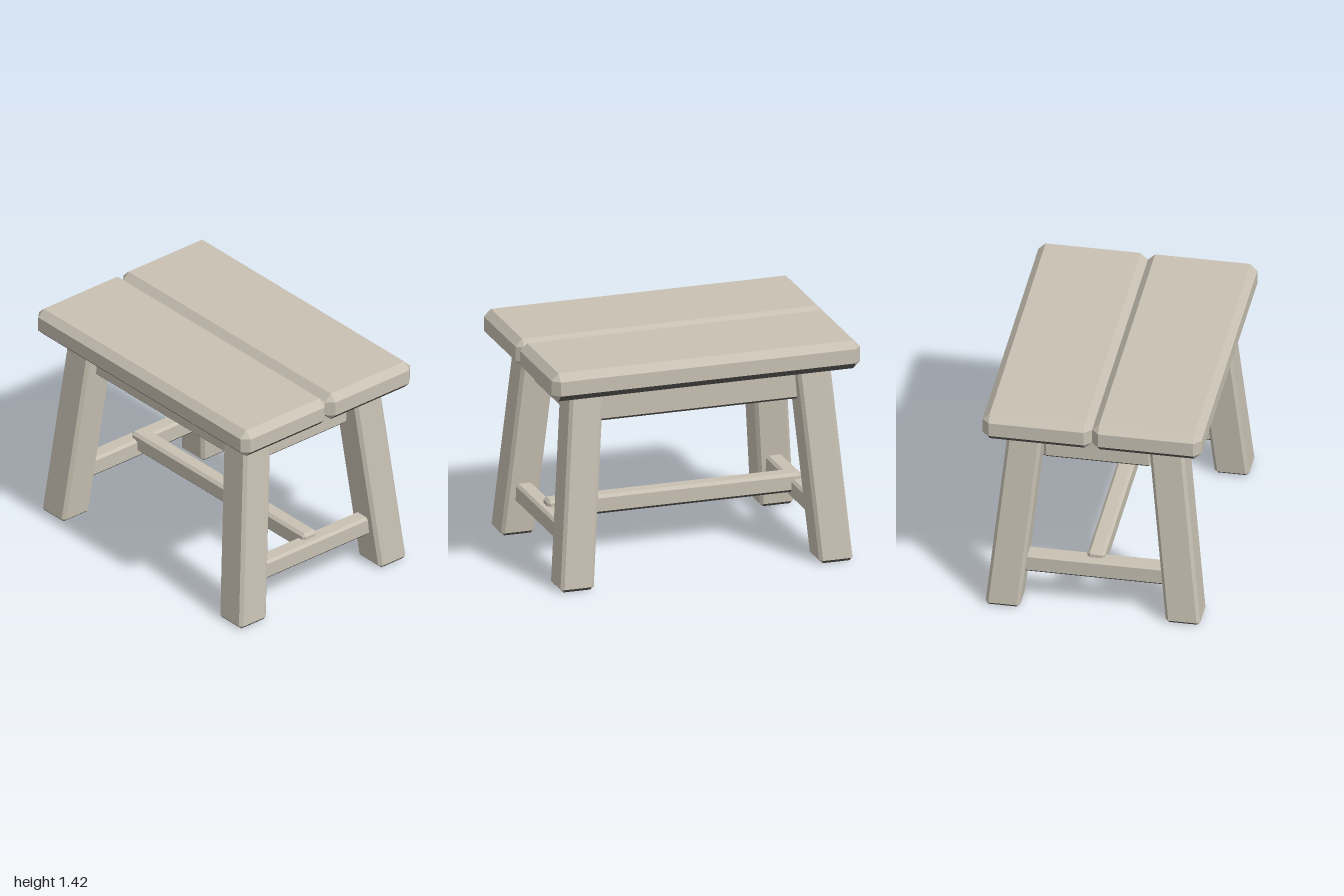
import * as THREE from 'three';
import { ConvexGeometry } from 'three/addons/geometries/ConvexGeometry.js';

const wood = new THREE.MeshStandardMaterial({ color: 0xc8c1b3 });
wood.name = 'pale wood';
const underside = new THREE.MeshStandardMaterial({ color: 0x5e5c57 });
underside.name = 'dark underside';

// Box centred on the origin with every edge cut by a chamfer c
function chamferBox(w, h, d, c) {
  const points = [];
  for (const sx of [-1, 1]) for (const sy of [-1, 1]) for (const sz of [-1, 1]) {
    for (let face = 0; face < 3; face++) {
      points.push(new THREE.Vector3(
        sx * (w / 2 - (face === 0 ? 0 : c)),
        sy * (h / 2 - (face === 1 ? 0 : c)),
        sz * (d / 2 - (face === 2 ? 0 : c))));
    }
  }
  return new ConvexGeometry(points);
}

// Give the bottom face and the lower chamfers the second material
function markUnderside(geometry) {
  const normal = geometry.attributes.normal;
  for (let i = 0; i < normal.count; i += 3) {
    geometry.addGroup(i, 3, normal.getY(i) < -0.65 ? 1 : 0);
  }
}

export function createModel() {
  const stool = new THREE.Group();
  stool.name = 'stool';

  function add(name, geometry, x, y, z) {
    markUnderside(geometry);
    const mesh = new THREE.Mesh(geometry, [wood, underside]);
    mesh.name = name;
    mesh.position.set(x, y, z);
    stool.add(mesh);
  }

  // Two seat planks meeting along the middle
  for (const s of [1, -1]) {
    add(s > 0 ? 'frontSeatPlank' : 'backSeatPlank', chamferBox(2, 0.182, 0.682, 0.045), 0, 1.329, s * 0.341);
  }

  // Splayed legs: upright posts sheared inward so both ends stay level
  const legHeight = 1.26;
  for (const sx of [1, -1]) for (const sz of [1, -1]) {
    const leg = chamferBox(0.216, legHeight, 0.216, 0.02);
    leg.applyMatrix4(new THREE.Matrix4().set(
      1, -sx * 0.084, 0, 0,
      0, 1, 0, 0,
      0, -sz * 0.101, 1, 0,
      0, 0, 0, 1));
    leg.computeVertexNormals();
    add((sz > 0 ? 'front' : 'back') + (sx > 0 ? 'Left' : 'Right') + 'Leg', leg,
      sx * 0.787, legHeight / 2, sz * 0.499);
  }

  // Aprons under the seat
  for (const s of [1, -1]) {
    add(s > 0 ? 'frontApron' : 'backApron', chamferBox(1.33, 0.217, 0.09, 0.016), 0, 1.129, s * 0.435);
    add(s > 0 ? 'leftApron' : 'rightApron', chamferBox(0.09, 0.217, 0.67, 0.016), s * 0.735, 1.129, 0);
  }

  // Side stretchers and the long rail resting across them
  for (const s of [1, -1]) {
    add(s > 0 ? 'leftStretcher' : 'rightStretcher', chamferBox(0.11, 0.125, 0.89, 0.016), s * 0.81, 0.282, 0);
  }
  add('centreStretcher', chamferBox(1.64, 0.122, 0.11, 0.018), 0, 0.322, 0);

  return stool;
}
